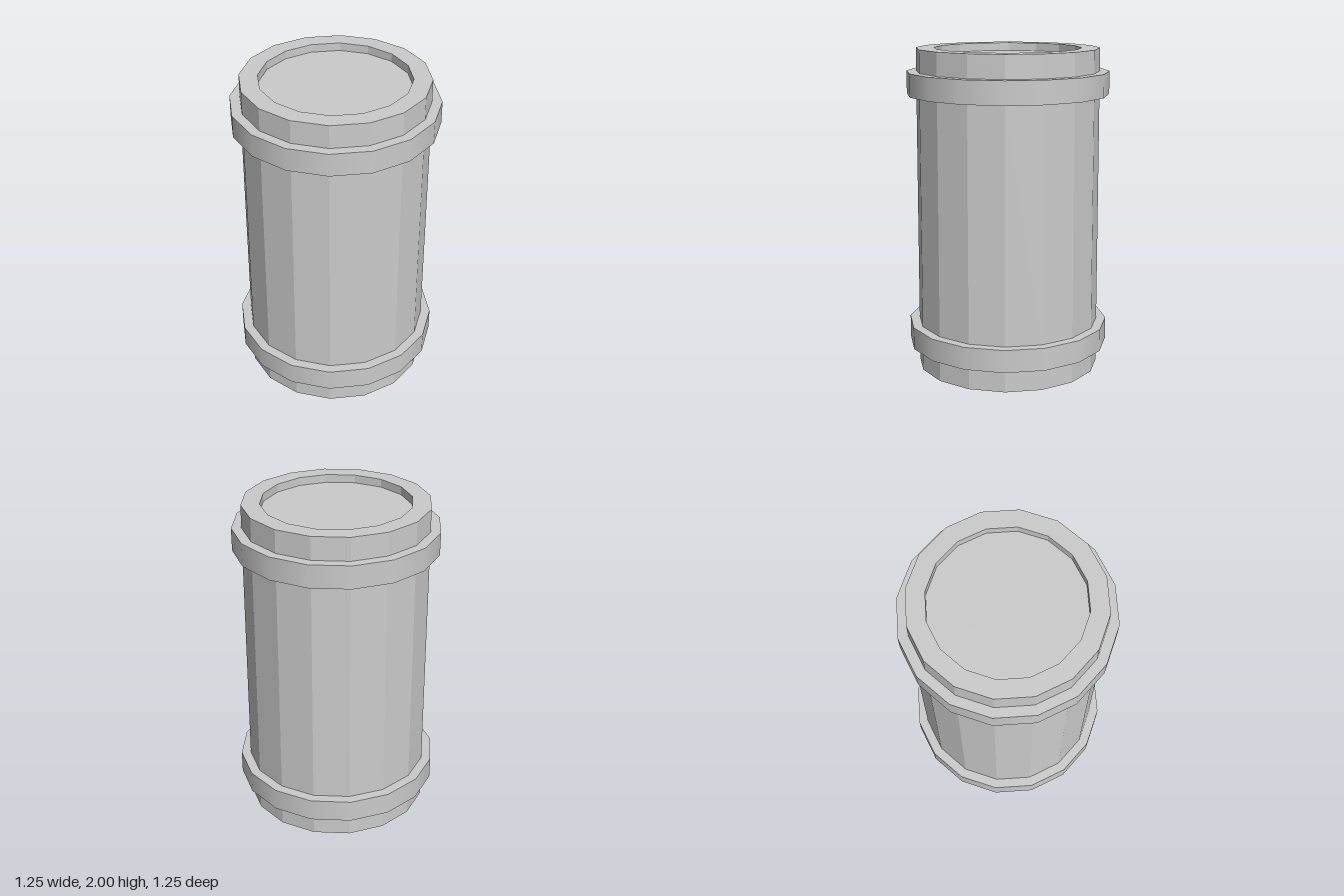
import * as THREE from 'three';

const SIDES = 16;

export function createModel() {
  const model = new THREE.Group();
  model.name = 'canister';

  const flat = new THREE.MeshStandardMaterial({ color: 0xcccccc, flatShading: true, side: THREE.DoubleSide });
  const smooth = new THREE.MeshStandardMaterial({ color: 0xcccccc, side: THREE.DoubleSide });

  // One ring of faces between two [radius, height] profile points
  function ring(name, from, to, material = flat) {
    const points = [new THREE.Vector2(...from), new THREE.Vector2(...to)];
    const mesh = new THREE.Mesh(new THREE.LatheGeometry(points, SIDES), material);
    mesh.name = name;
    model.add(mesh);
  }

  // Raised hollow band: lower ledge, smooth wall, upper ledge
  function band(name, radius, y0, y1, innerLow, innerHigh) {
    ring(name + 'Underside', [innerLow, y0], [radius, y0]);
    ring(name + 'Wall', [radius, y0], [radius, y1], smooth);
    ring(name + 'Ledge', [radius, y1], [innerHigh, y1]);
  }

  // Thin shell, open at the bottom and tapering slightly upwards
  ring('foot', [0.57, 0], [0.569, 0.145]);
  band('lowerBand', 0.627, 0.145, 0.285, 0.569, 0.568);
  ring('body', [0.568, 0.285], [0.562, 1.72]);
  band('upperBand', 0.621, 1.72, 1.86, 0.562, 0.561);
  ring('collar', [0.561, 1.86], [0.56, 2]);

  // Rim and recessed lid
  ring('rim', [0.56, 2], [0.45, 2]);
  ring('recessWall', [0.45, 2], [0.45, 1.95]);
  ring('lid', [0.45, 1.95], [0, 1.95]);

  return model;
}
